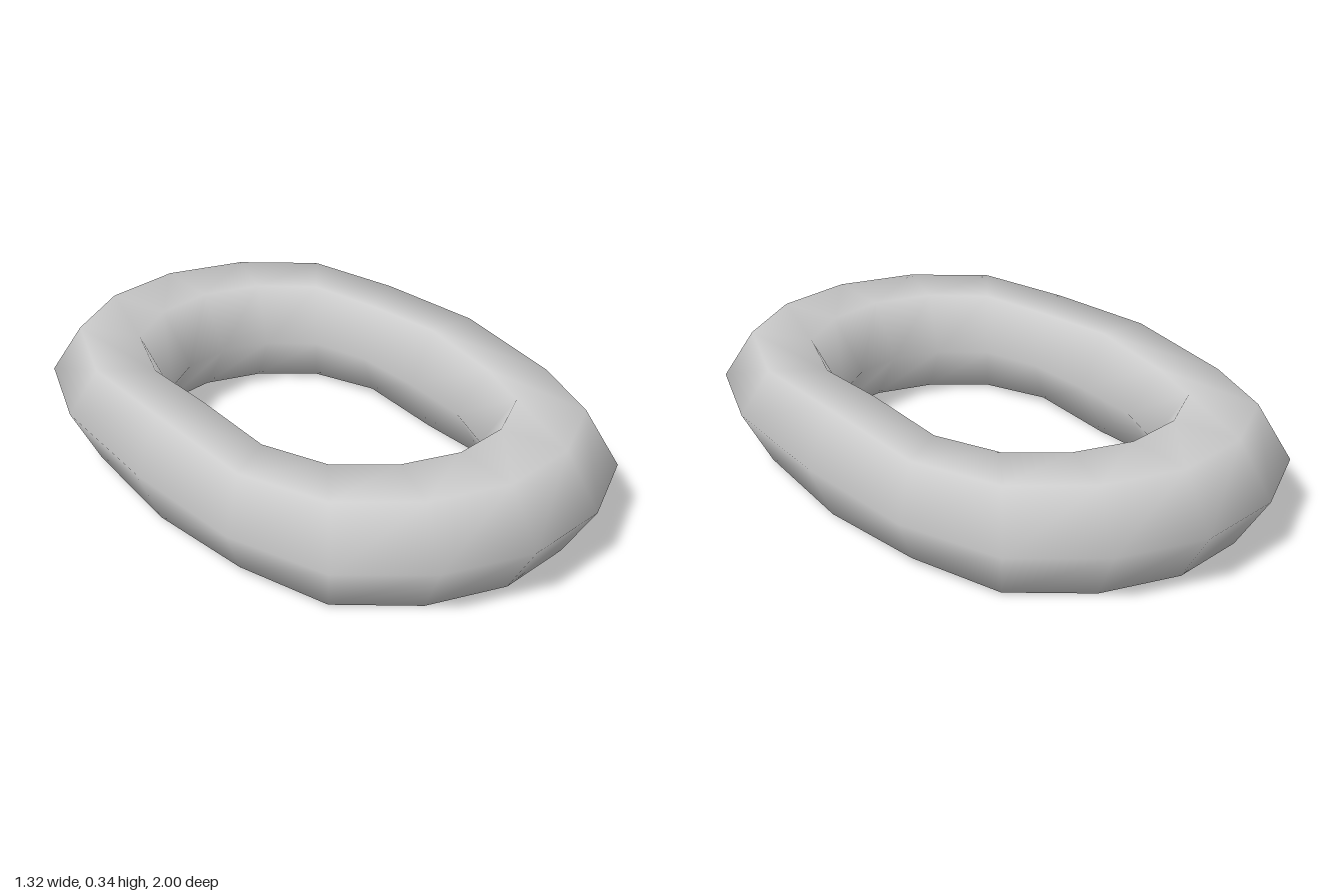
import * as THREE from 'three';

// One quarter of the link: outer corner, inner corner, half height of each section
const QUARTER = [
  { outer: [0, 1], inner: [0, 0.56], h: 0.163 },
  { outer: [0.28, 0.937], inner: [0.15, 0.525], h: 0.163 },
  { outer: [0.52, 0.765], inner: [0.28, 0.425], h: 0.161 },
  { outer: [0.635, 0.445], inner: [0.34, 0.24], h: 0.15 },
  { outer: [0.66, 0], inner: [0.35, 0], h: 0.17 },
];
const RINGS = 16, SIDES = 6, MID_Y = 0.17;

// Mirror the quarter around the full loop, starting at +z and turning towards +x
function section(i) {
  const q = i % 8;
  const s = QUARTER[q <= 4 ? q : 8 - q];
  const sx = i < 8 ? 1 : -1;
  const sz = i <= 4 || i >= 12 ? 1 : -1;
  const put = ([x, z]) => new THREE.Vector2(x * sx, z * sz);
  return { outer: put(s.outer), inner: put(s.inner), h: s.h };
}

function linkGeometry() {
  const pos = [], index = [];
  for (let i = 0; i < RINGS; i++) {
    const { outer, inner, h } = section(i);
    for (let k = 0; k < SIDES; k++) {
      // Hexagon with corners pointing outwards and inwards
      const a = (k / SIDES) * Math.PI * 2;
      const p = inner.clone().lerp(outer, 0.5 + 0.5 * Math.cos(a));
      pos.push(p.x, MID_Y + h * Math.sin(a) / Math.sin(Math.PI / 3), p.y);
      const i2 = (i + 1) % RINGS, k2 = (k + 1) % SIDES;
      const A = i * SIDES + k, B = i2 * SIDES + k, C = i2 * SIDES + k2, D = i * SIDES + k2;
      index.push(A, B, C, A, C, D);
    }
  }
  const geo = new THREE.BufferGeometry();
  geo.setAttribute('position', new THREE.Float32BufferAttribute(pos, 3));
  geo.setIndex(index);
  geo.computeVertexNormals();
  return geo;
}

export function createModel() {
  const group = new THREE.Group();
  group.name = 'chainLink';
  const link = new THREE.Mesh(linkGeometry(), new THREE.MeshStandardMaterial({ color: 0xcccccc }));
  link.name = 'linkRing';
  group.add(link);
  return group;
}
